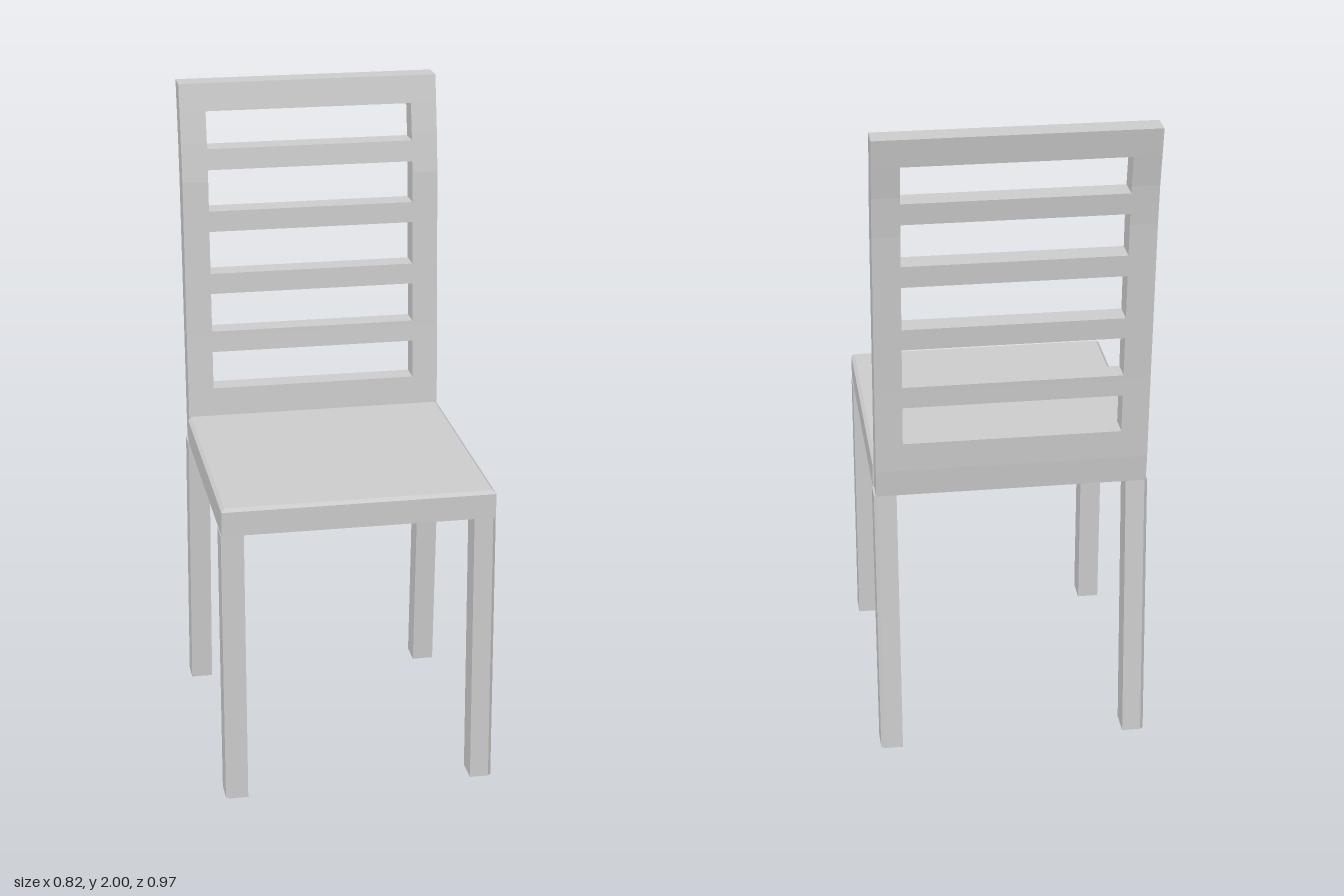
import * as THREE from 'three';
import { ConvexGeometry } from 'three/addons/geometries/ConvexGeometry.js';

const SEAT_BOTTOM = 0.855, SEAT_TOP = 0.94, HALF = 0.41;

// Side curve of the backrest: [y, front z, back z]
const CURVE = [
  [0.855, -0.318, -0.379], [0.94, -0.318, -0.388], [1.2, -0.335, -0.403], [1.5, -0.351, -0.424],
  [1.7, -0.362, -0.438], [1.82, -0.378, -0.452], [1.92, -0.397, -0.471], [2, -0.413, -0.486],
];

function curveAt(y) {
  let i = 1;
  while (i < CURVE.length - 1 && CURVE[i][0] < y) i++;
  const a = CURVE[i - 1], b = CURVE[i], t = (y - a[0]) / (b[0] - a[0]);
  return [y, a[1] + (b[1] - a[1]) * t, a[2] + (b[2] - a[2]) * t];
}

export function createModel() {
  const group = new THREE.Group();
  const material = new THREE.MeshStandardMaterial({ color: 0xcccccc, flatShading: true });
  const add = (name, geometry) => {
    const mesh = new THREE.Mesh(geometry, material);
    mesh.name = name;
    group.add(mesh);
  };

  // A piece of the curved backrest between two heights and two sides
  const backPiece = (name, x0, x1, y0, y1) => {
    const rows = [curveAt(y0), ...CURVE.filter(([y]) => y > y0 && y < y1), curveAt(y1)];
    const outline = [
      ...rows.map(([y, front]) => new THREE.Vector2(front, y)),
      ...rows.slice().reverse().map(([y, , back]) => new THREE.Vector2(back, y)),
    ];
    const geometry = new THREE.ExtrudeGeometry(new THREE.Shape(outline), { depth: x1 - x0, bevelEnabled: false });
    geometry.rotateY(-Math.PI / 2).translate(x1, 0, 0);
    add(name, geometry);
  };

  // A leg with a chamfered outer corner, leaning by dz towards the floor
  const leg = (name, side, inner, outer, dz) => {
    const c = 0.01, cz = Math.sign(outer - inner) * c;
    const plan = [[0.345, inner], [0.412, inner], [0.412, outer - cz], [0.412 - c, outer], [0.345, outer]];
    const shape = new THREE.Shape(plan.map(([x, z]) => new THREE.Vector2(x * side, -z)));
    const geometry = new THREE.ExtrudeGeometry(shape, { depth: SEAT_BOTTOM, bevelEnabled: false });
    geometry.rotateX(-Math.PI / 2);
    const p = geometry.attributes.position;
    for (let i = 0; i < p.count; i++) p.setZ(i, p.getZ(i) + dz * (1 - p.getY(i) / SEAT_BOTTOM));
    geometry.computeVertexNormals();
    add(name, geometry);
  };

  // Seat slab with a small chamfer round its top edge
  const corners = [];
  for (const [y, inset] of [[SEAT_BOTTOM, 0], [SEAT_TOP - 0.01, 0], [SEAT_TOP, 0.01]]) {
    for (const s of [-1, 1]) {
      corners.push(new THREE.Vector3(s * (HALF - inset), y, 0.47 - inset));
      corners.push(new THREE.Vector3(s * (HALF - inset), y, -0.318));
    }
  }
  add('seat', new ConvexGeometry(corners));

  // Legs and back posts
  for (const [side, label] of [[1, 'left'], [-1, 'right']]) {
    leg(label + 'FrontLeg', side, 0.39, 0.47, 0.016);
    leg(label + 'RearLeg', side, -0.3, -0.379, -0.05);
    const [x0, x1] = side > 0 ? [0.325, 0.406] : [-0.406, -0.325];
    backPiece(label + 'BackPost', x0, x1, SEAT_BOTTOM, 2);
  }

  // Rails and slats of the backrest
  const bars = [[SEAT_BOTTOM, 1.03], [1.15, 1.217], [1.34, 1.405], [1.54, 1.605], [1.735, 1.8], [1.915, 2]];
  bars.forEach(([y0, y1], i) => {
    const name = i === 0 ? 'bottomRail' : i === bars.length - 1 ? 'topRail' : 'backSlat' + i;
    backPiece(name, -0.325, 0.325, y0, y1);
  });

  return group;
}
